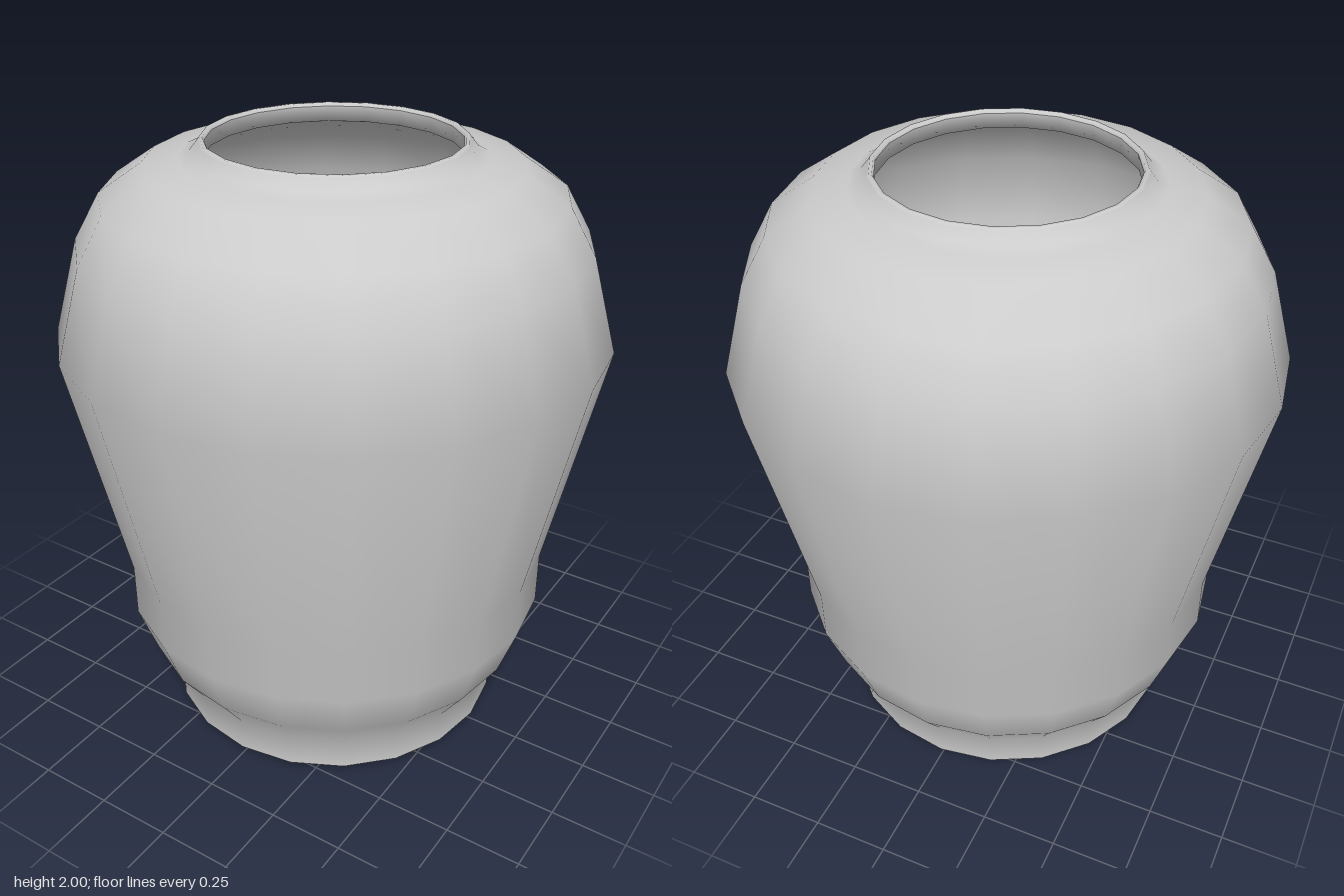
import * as THREE from 'three';

const SIDES = 20;

export function createModel() {
  const group = new THREE.Group();
  group.name = 'vase';
  const material = new THREE.MeshStandardMaterial({ color: 0xcccccc });

  // Revolve a profile of [radius, height] pairs into a named part
  const lathe = (name, profile) => {
    const points = profile.map(([r, y]) => new THREE.Vector2(r, y));
    const mesh = new THREE.Mesh(new THREE.LatheGeometry(points, SIDES), material);
    mesh.name = name;
    group.add(mesh);
  };

  // Flat underside and its small bevel
  lathe('base', [[0, 0], [0.55, 0]]);
  lathe('baseBevel', [[0.55, 0], [0.575, 0.025]]);

  // Outer wall: foot, belly, shoulder and neck
  lathe('outerWall', [
    [0.575, 0.025], [0.575, 0.14], [0.66, 0.26], [0.72, 0.43], [0.72, 0.61],
    [0.885, 1.39], [0.8, 1.69], [0.717, 1.835], [0.583, 1.925],
    [0.47, 1.945], [0.435, 1.962], [0.412, 1.99],
  ]);

  // Thin rounded lip
  lathe('rim', [[0.412, 1.99], [0.405, 2], [0.395, 2], [0.39, 1.99]]);

  // Inner wall follows the outer one
  lathe('innerWall', [
    [0.39, 1.99], [0.395, 1.94], [0.57, 1.89], [0.69, 1.81], [0.77, 1.67],
    [0.85, 1.39], [0.685, 0.61], [0.685, 0.43], [0.625, 0.27], [0.54, 0.15], [0.54, 0.04],
  ]);

  // Inside floor
  lathe('innerFloor', [[0.54, 0.04], [0, 0.04]]);

  return group;
}
